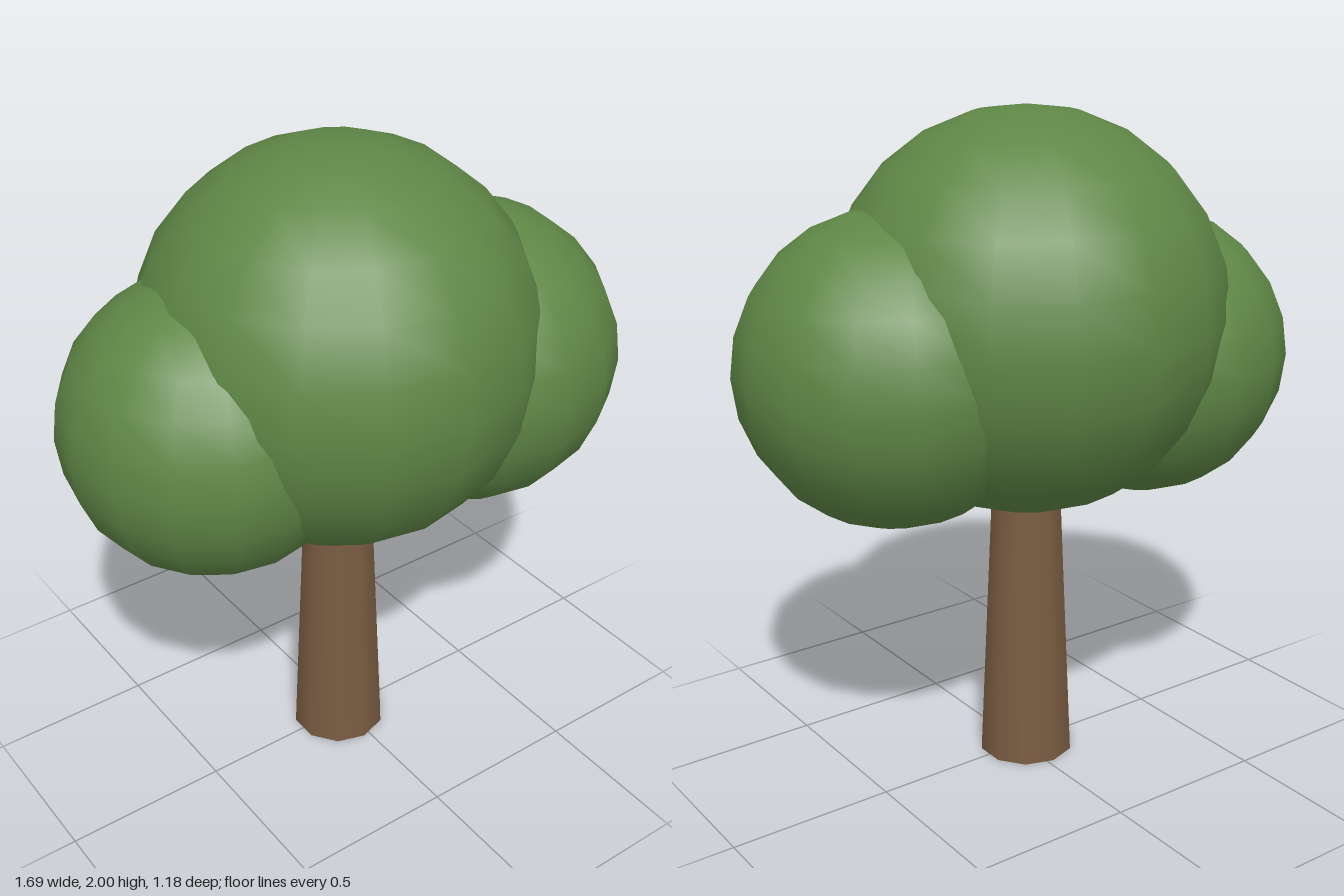
import * as THREE from 'three';

export function createModel() {
  const tree = new THREE.Group();
  tree.name = 'tree';
  const bark = new THREE.MeshStandardMaterial({ color: 0x7a5c42 });
  const leaves = new THREE.MeshStandardMaterial({ color: 0x5f8746 });

  // Tapered ten-sided trunk, its top hidden inside the crown
  const height = 1.08;
  const trunk = new THREE.Mesh(new THREE.CylinderGeometry(0.098, 0.147, height, 10), bark);
  trunk.name = 'trunk';
  trunk.position.set(-0.02, height / 2, 0);
  tree.add(trunk);

  // Three overlapping balls of foliage
  const crown = new THREE.Group();
  crown.name = 'crown';
  tree.add(crown);
  const addFoliage = (name, radius, x, y, z) => {
    const ball = new THREE.Mesh(new THREE.SphereGeometry(radius, 16, 12), leaves);
    ball.name = name;
    ball.position.set(x, y, z);
    crown.add(ball);
  };
  addFoliage('mainFoliage', 0.59, -0.02, 1.41, 0);
  addFoliage('leftFoliage', 0.455, 0.385, 1.285, 0.077);
  addFoliage('rightFoliage', 0.435, -0.41, 1.25, -0.06);

  return tree;
}
